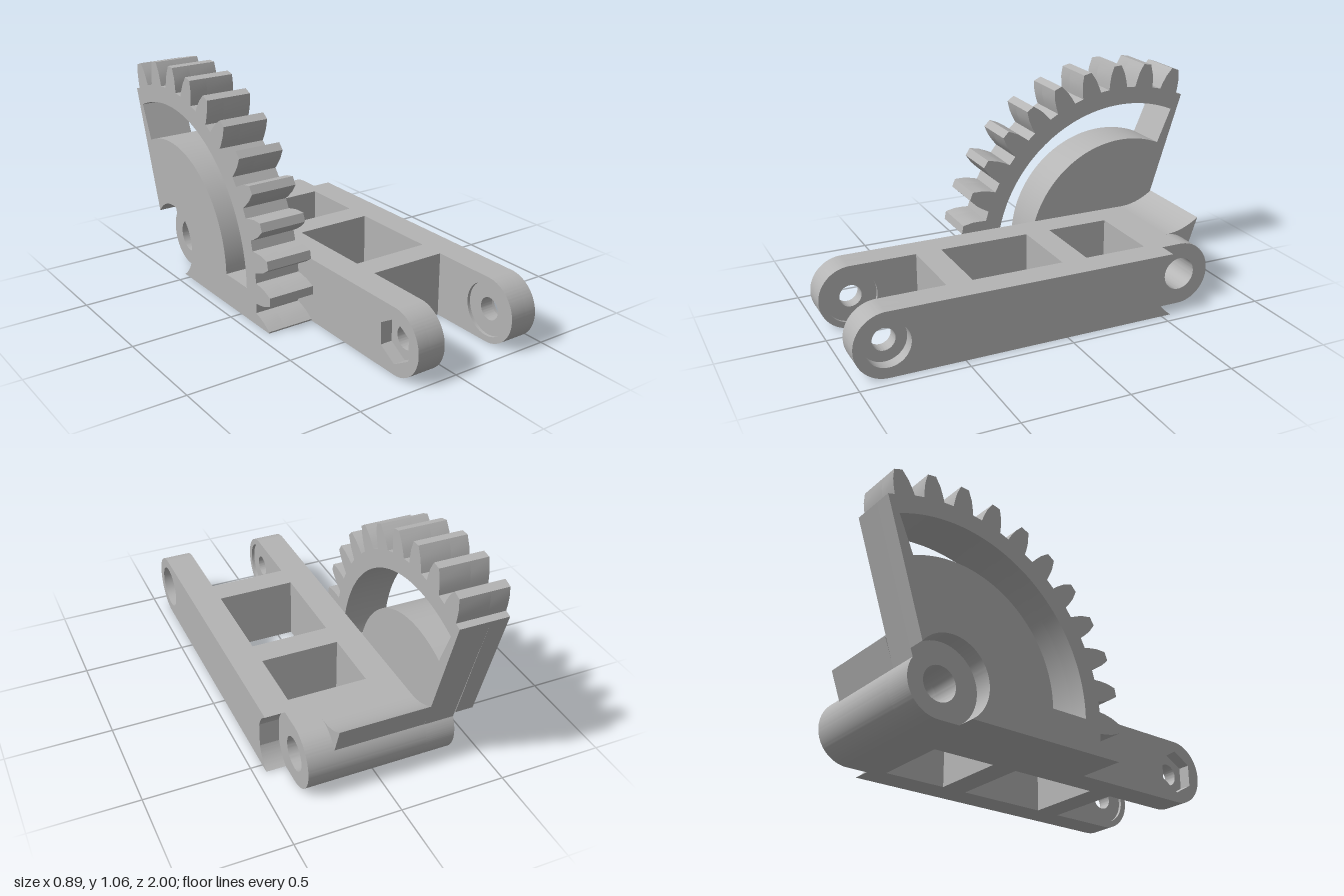
import * as THREE from 'three';
import { toCreasedNormals } from 'three/addons/utils/BufferGeometryUtils.js';

const metal = new THREE.MeshStandardMaterial({ color: 0xb4b4b4 });
metal.name = 'grey metal';

// Side profiles are drawn in (u, y) with u = -z, then extruded along x.
const H = 0.31, R = 0.155;
const PIVOT = 0.65, END = -0.85, CLEAR = 0.185, BORE = 0.08, PIN = 0.053;
const rad = (d) => d * Math.PI / 180;
const polar = (deg, r) => [PIVOT + r * Math.cos(rad(deg)), R + r * Math.sin(rad(deg))];

export function createModel() {
  const group = new THREE.Group();

  function slab(name, shape, x0, x1) {
    const extruded = new THREE.ExtrudeGeometry(shape, { depth: x1 - x0, bevelEnabled: false, curveSegments: 32 });
    const mesh = new THREE.Mesh(toCreasedNormals(extruded, 0.4), metal);
    mesh.name = name;
    mesh.rotation.y = Math.PI / 2;
    mesh.position.x = x0;
    group.add(mesh);
  }
  const circle = (u, r) => new THREE.Path().absarc(u, R, r, 0, Math.PI * 2, true);
  function hexagon(u, r) {
    const points = [];
    for (let i = 0; i < 6; i++) {
      points.push(new THREE.Vector2(u + r * Math.cos(rad(-60 * i + 30)), R + r * Math.sin(rad(-60 * i + 30))));
    }
    return new THREE.Path(points);
  }
  function block(name, u0, u1, x0, x1) {
    const s = new THREE.Shape();
    s.moveTo(u0, 0).lineTo(u1, 0).lineTo(u1, H).lineTo(u0, H).closePath();
    slab(name, s, x0, x1);
  }

  // Rounded fork ends, sliced so that each slice has its own hole
  function forkEnd(name, x0, x1, hole) {
    const s = new THREE.Shape();
    s.moveTo(-0.6, 0).lineTo(-0.6, H).lineTo(END, H);
    s.absarc(END, R, R, Math.PI / 2, Math.PI * 1.5, false);
    s.closePath();
    s.holes.push(hole);
    slab(name, s, x0, x1);
  }
  forkEnd('rightForkNutPocket', -0.213, -0.155, hexagon(END, 0.105));
  forkEnd('rightForkWeb', -0.155, -0.09, circle(END, PIN));
  forkEnd('rightForkInnerRecess', -0.09, -0.075, circle(END, 0.125));
  forkEnd('leftForkInnerRecess', 0.305, 0.32, circle(END, 0.125));
  forkEnd('leftForkWeb', 0.32, 0.385, circle(END, PIN));
  forkEnd('leftForkCounterbore', 0.385, 0.443, circle(END, 0.105));

  // Rails and crossbars of the ladder frame
  block('rightRail', -0.6, 0.475, -0.213, -0.075);
  block('leftRail', -0.6, 0.475, 0.305, 0.443);
  block('frontCrossbar', -0.53, -0.405, -0.075, 0.305);
  block('middleCrossbar', 0.04, 0.165, -0.075, 0.305);

  // Pivot barrel merging into the frame
  const barrel = new THREE.Shape();
  barrel.moveTo(0.475, 0).lineTo(PIVOT, 0);
  barrel.absarc(PIVOT, R, R, -Math.PI / 2, Math.PI / 2, false);
  barrel.lineTo(0.475, H).closePath();
  barrel.holes.push(circle(PIVOT, BORE));
  slab('pivotBarrel', barrel, -0.213, 0.35);

  // Left rail tail, hollowed around the barrel end
  const cut = Math.asin(R / CLEAR);
  const tail = new THREE.Shape();
  tail.moveTo(0.475, 0).lineTo(PIVOT - CLEAR * Math.cos(cut), 0);
  tail.absarc(PIVOT, R, CLEAR, Math.PI + cut, Math.PI - cut, true);
  tail.lineTo(0.475, H).closePath();
  slab('leftRailTail', tail, 0.35, 0.443);

  // Flared lip above the barrel
  const lip = new THREE.Shape();
  lip.moveTo(PIVOT, 0.3).lineTo(0.75, 0.25).lineTo(0.782, 0.235).lineTo(0.83, 0.37);
  lip.quadraticCurveTo(0.745, H, PIVOT, H);
  lip.closePath();
  slab('barrelLip', lip, -0.213, 0.22);

  // Toothed sector: outline of the teeth, then a hub or a clearance cut
  function sector(name, x0, x1, closeOutline) {
    const s = new THREE.Shape();
    s.moveTo(0.99, 0.873);
    const tooth = [[-3.7, 0.79], [-3.3, 0.82], [-2.6, 0.86], [-1.3, 0.905],
      [1.3, 0.905], [2.6, 0.86], [3.3, 0.82], [3.7, 0.79]];
    for (let i = 0; i < 12; i++) {
      const mid = 70.7 + i * 360 / 33;
      for (const [d, r] of tooth.slice(0, i === 11 ? 4 : 8)) s.lineTo(...polar(mid + d, r));
    }
    s.lineTo(-0.242, 0);
    closeOutline(s);
    s.closePath();
    // Curved window between rim and inner disc
    const w = new THREE.Path();
    w.moveTo(...polar(66.5, 0.705));
    w.lineTo(...polar(66.5, 0.52));
    w.absarc(PIVOT, R, 0.52, rad(66.5), Math.PI, false);
    w.lineTo(...polar(180, 0.705));
    w.absarc(PIVOT, R, 0.705, Math.PI, rad(66.5), true);
    s.holes.push(w);
    if (x1 > -0.3) s.holes.push(circle(PIVOT, BORE));
    slab(name, s, x0, x1);
  }
  sector('gearSectorInner', -0.355, -0.213, (s) => {
    s.lineTo(PIVOT, 0);
    s.absarc(PIVOT, R, R, -Math.PI / 2, rad(31), false);
  });
  sector('gearSectorOuter', -0.443, -0.355, (s) => {
    s.lineTo(PIVOT - CLEAR * Math.cos(cut), 0);
    s.absarc(PIVOT, R, CLEAR, Math.PI + cut, rad(37.3), true);
  });

  return group;
}
